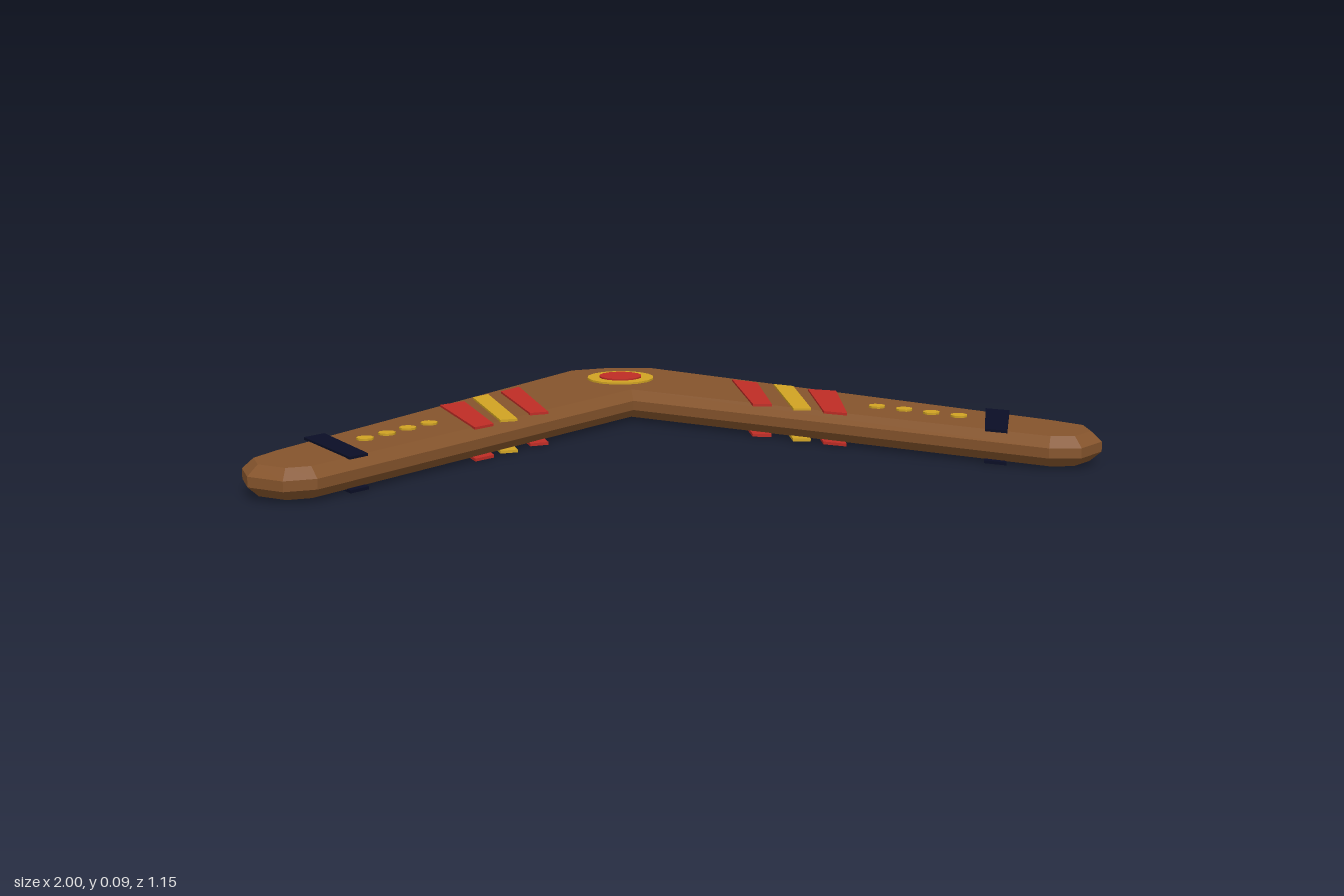
import * as THREE from 'three';

const material = (name, color) => {
  const m = new THREE.MeshStandardMaterial({ color });
  m.name = name;
  return m;
};

// Extrude an outline of [x, z] points upward from height y
function slab(points, y, depth, bevel) {
  const shape = new THREE.Shape(points.map(([x, z]) => new THREE.Vector2(x, -z)));
  const geometry = new THREE.ExtrudeGeometry(shape, { depth, bevelEnabled: false, ...bevel });
  return geometry.rotateX(-Math.PI / 2).translate(0, y, 0);
}

export function createModel() {
  const wood = material('brown wood', 0x85542c);
  const red = material('red paint', 0xbe2c25);
  const yellow = material('yellow paint', 0xd0a323);
  const navy = material('navy paint', 0x0a0e26);

  const group = new THREE.Group();
  group.name = 'boomerang';
  const add = (name, geometry, mat) => {
    const mesh = new THREE.Mesh(geometry, mat);
    mesh.name = name;
    group.add(mesh);
    return mesh;
  };

  // Chamfered V-shaped body, mirrored from one half
  const half = [
    [0.12, -0.555], [0.94, 0.34], [1, 0.42], [0.99, 0.51], [0.915, 0.572], [0.84, 0.56],
  ];
  const outline = [
    [0, -0.578], ...half, [0, -0.195],
    ...half.map(([x, z]) => [-x, z]).reverse(),
  ];
  add('body', slab(outline, 0.03, 0.024, {
    bevelEnabled: true, bevelSegments: 1, bevelThickness: 0.024, bevelSize: 0.025, bevelOffset: -0.025,
  }), wood);

  // Painted stripes on both faces of both arms
  const stripes = [
    ['innerRedStripe', red, [[0.283, -0.294], [0.337, -0.238], [0.303, 0.06], [0.257, 0.05]]],
    ['yellowStripe', yellow, [[0.374, -0.208], [0.417, -0.171], [0.385, 0.13], [0.342, 0.123]]],
    ['outerRedStripe', red, [[0.444, -0.123], [0.508, -0.086], [0.455, 0.207], [0.406, 0.171]]],
    ['tipBand', navy, [[0.807, 0.209], [0.856, 0.246], [0.765, 0.483], [0.722, 0.449]]],
  ];
  const dots = [[0.555, 0.123], [0.61, 0.172], [0.663, 0.224], [0.717, 0.273]];

  for (const side of [1, -1]) {
    for (const [name, mat, points] of stripes) {
      const quad = points.map(([x, z]) => [side * x, z]);
      add(name + 'Top', slab(quad, 0.077, 0.006), mat);
      add(name + 'Bottom', slab(quad, 0, 0.007), mat);
    }
    // Row of dots along each arm
    for (const [x, z] of dots) {
      add('dot', new THREE.CylinderGeometry(0.021, 0.021, 0.006, 8), yellow)
        .position.set(side * x, 0.08, z);
    }
  }

  // Round emblem at the elbow
  add('emblemRing', new THREE.CylinderGeometry(0.088, 0.088, 0.006, 16), yellow)
    .position.set(0, 0.08, -0.385);
  add('emblemCentre', new THREE.CylinderGeometry(0.056, 0.056, 0.006, 16), red)
    .position.set(0, 0.084, -0.385);

  return group;
}
